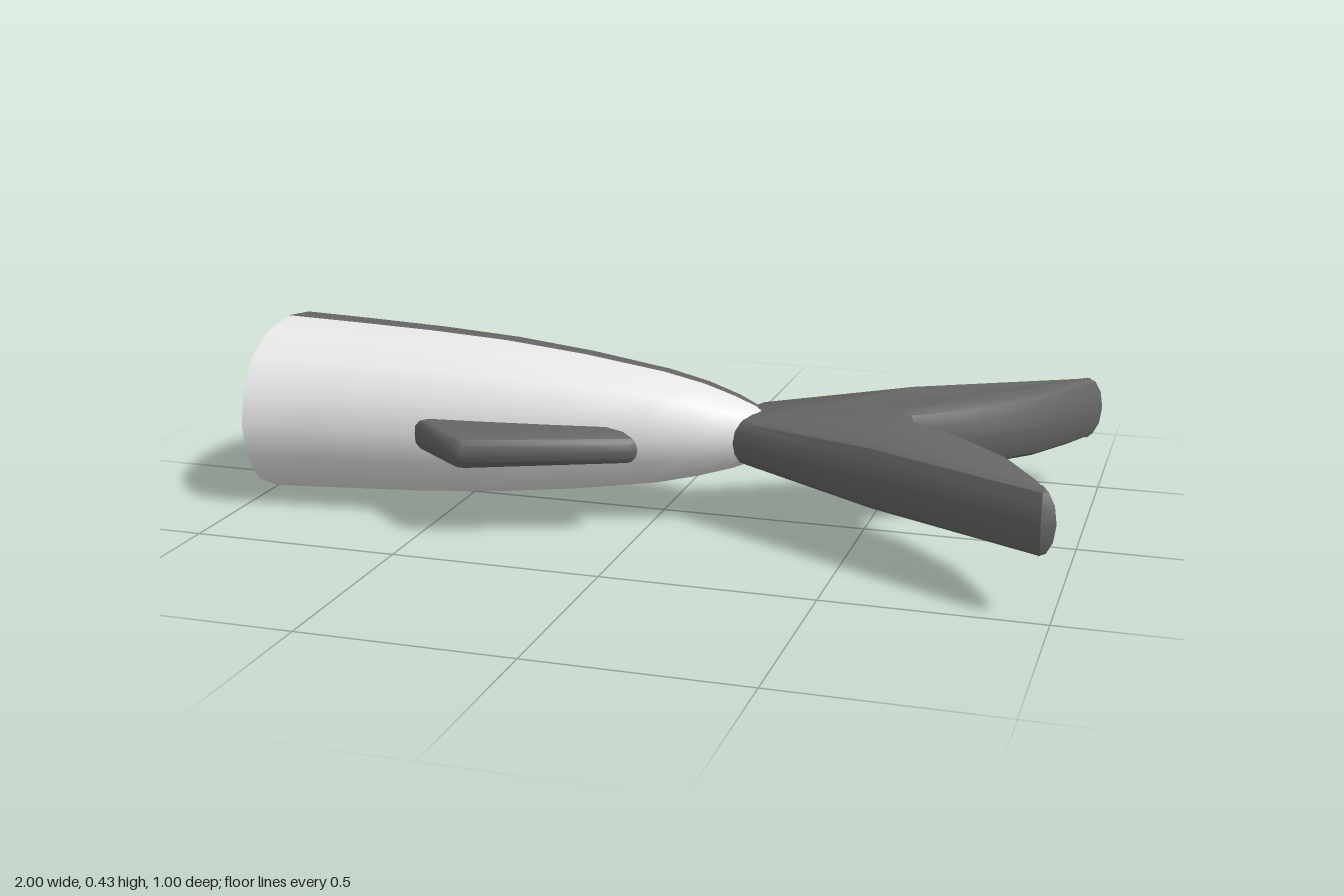
import * as THREE from 'three';
import { toCreasedNormals } from 'three/addons/utils/BufferGeometryUtils.js';

const mat = (name, color) => Object.assign(new THREE.MeshStandardMaterial({ color }), { name });

const MID = 0.22; // height of the body axis
const SIDES = 16;

// body stations: x, half height, z towards the back, z towards the belly
const STATIONS = [
  [-0.98, 0.215, -0.24, 0.303], [-0.8, 0.208, -0.237, 0.285], [-0.6, 0.2, -0.225, 0.262],
  [-0.4, 0.187, -0.209, 0.232], [-0.2, 0.165, -0.186, 0.196], [0, 0.135, -0.155, 0.155],
  [0.1, 0.112, -0.13, 0.122], [0.18, 0.087, -0.1, 0.096], [0.23, 0.067, -0.066, 0.066],
  [0.25, 0.052, -0.038, 0.038], [0.257, 0.003, -0.004, 0.004],
];

// point on a station's slightly squarish ring; angles 0..PI cover the belly half
function ringPoint([x, h, z0, z1], j) {
  const a = (j / SIDES) * Math.PI * 2;
  const r = 1 + 0.035 * Math.sin(2 * a) ** 2;
  return [x, MID + Math.cos(a) * h * r, (z0 + z1) / 2 + Math.sin(a) * r * (z1 - z0) / 2];
}

// smooth skin, with one material group for the belly and one for the back
function bodyGeometry() {
  const pos = [], index = [];
  for (const s of STATIONS) for (let j = 0; j < SIDES; j++) pos.push(...ringPoint(s, j));
  for (let j = 0; j < SIDES; j++) {
    for (let i = 0; i < STATIONS.length - 1; i++) {
      const k = (j + 1) % SIDES;
      const a = i * SIDES + j, b = i * SIDES + k, c = a + SIDES, d = b + SIDES;
      index.push(a, b, c, b, d, c);
    }
  }
  const g = new THREE.BufferGeometry();
  g.setAttribute('position', new THREE.Float32BufferAttribute(pos, 3));
  g.setIndex(index);
  g.addGroup(0, index.length / 2, 0);
  g.addGroup(index.length / 2, index.length / 2, 1);
  g.computeVertexNormals();
  return g;
}

// slab with a rounded rim from an outline of [x, z] points, lying flat around the body axis
function slab(outline, thickness, inset, taper = () => 1) {
  const bevel = thickness / 2 - 0.003;
  const shape = new THREE.Shape(outline.map(([x, z]) => new THREE.Vector2(x, -z)));
  const g = new THREE.ExtrudeGeometry(shape, {
    depth: 0.006, bevelEnabled: true, bevelThickness: bevel,
    bevelSize: inset, bevelOffset: -inset, bevelSegments: 3,
  });
  g.translate(0, 0, -0.003);
  g.rotateX(-Math.PI / 2);
  const p = g.attributes.position;
  for (let i = 0; i < p.count; i++) p.setY(i, p.getY(i) * taper(p.getX(i)));
  g.translate(0, MID, 0);
  return toCreasedNormals(g, 0.6);
}

export function createModel() {
  const dark = mat('dark back', 0x666666);
  const pale = mat('pale belly', 0xebebeb);
  const flesh = mat('flesh', 0xda8282);
  const bone = mat('bone', 0xf2f2f2);

  const model = new THREE.Group();
  model.name = 'fishTail';
  const add = (name, geometry, material) => {
    const mesh = new THREE.Mesh(geometry, material);
    mesh.name = name;
    model.add(mesh);
    return mesh;
  };

  add('body', bodyGeometry(), [pale, dark]);

  // flat cut end
  const cut = new THREE.Shape();
  for (let j = 0; j < SIDES; j++) {
    const [, y, z] = ringPoint(STATIONS[0], j);
    if (j) cut.lineTo(z, y); else cut.moveTo(z, y);
  }
  add('cutFace', new THREE.ShapeGeometry(cut).rotateY(-Math.PI / 2), flesh).position.x = -0.98;

  // spine stub with a rounded rim and a sunken centre
  const ring = [[0.062, 0], [0.062, 0.013], [0.054, 0.02], [0.042, 0.02], [0.033, 0.013], [0.03, 0.004], [0, 0.004]];
  const spine = new THREE.LatheGeometry(ring.map(([r, y]) => new THREE.Vector2(r, y)), 16);
  spine.rotateZ(Math.PI / 2);
  add('spine', toCreasedNormals(spine, 0.7), bone).position.set(-0.98, MID, 0.03);

  // forked tail, thinner towards its root
  const half = [[0.2, -0.1], [0.55, -0.28], [0.97, -0.5], [1, -0.48], [0.955, -0.385],
    [0.88, -0.255], [0.75, -0.12], [0.615, -0.018]];
  const mirrored = half.map(([x, z]) => [x, -z]).reverse();
  const taper = (x) => 0.7 + 0.3 * Math.min(1, Math.max(0, (x - 0.2) / 0.35));
  add('tailFin', slab([...half, ...mirrored], 0.154, 0.03, taper), dark);

  // small fins on the back and belly edges
  add('backFin', slab([[-0.978, -0.1], [-0.978, -0.365], [-0.965, -0.365], [-0.82, -0.235], [-0.78, -0.1]],
    0.13, 0.03), dark);
  add('bellyFin', slab([[-0.55, 0.25], [-0.4, 0.376], [-0.375, 0.38], [-0.01, 0.24], [0.003, 0.222],
    [-0.04, 0.17], [-0.12, 0.13], [-0.5, 0.2]],
    0.078, 0.022, (x) => 1 - 0.16 * Math.max(0, (x + 0.5) / 0.5)), dark);

  return model;
}
